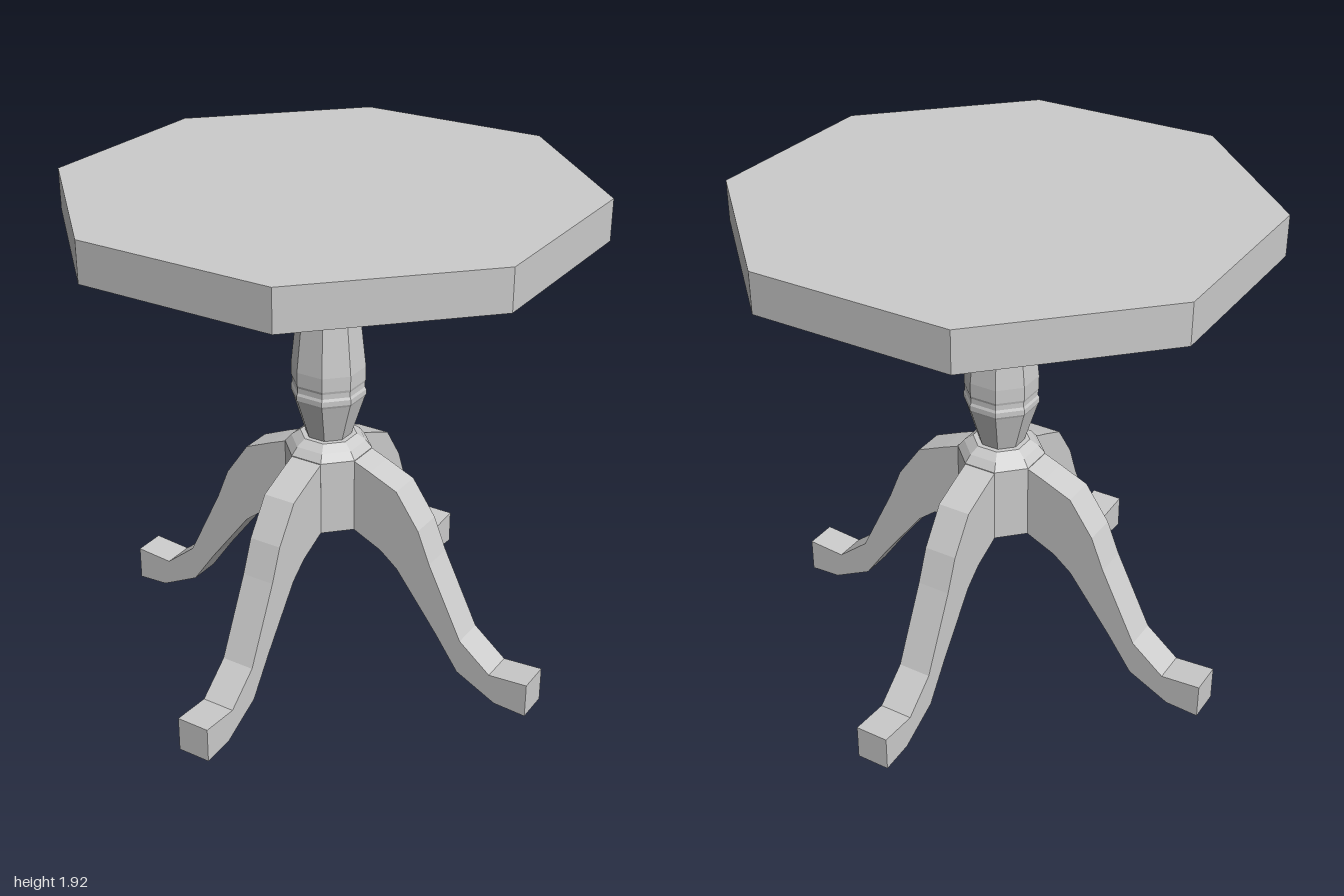
import * as THREE from 'three';

const material = new THREE.MeshStandardMaterial({ color: 0xcccccc, flatShading: true });

function addMesh(parent, name, geometry) {
  const mesh = new THREE.Mesh(geometry, material);
  mesh.name = name;
  parent.add(mesh);
  return mesh;
}

// Eight-sided turned part from [radius, height] pairs, bottom to top
function turned(points) {
  return new THREE.LatheGeometry(points.map(([r, y]) => new THREE.Vector2(r, y)), 8);
}

export function createModel() {
  const table = new THREE.Group();
  table.name = 'pedestalTable';

  // Octagonal top with corners on the axes and a slightly hollowed underside
  addMesh(table, 'tableTop', turned([[0, 1.825], [1, 1.77], [1, 1.925], [0, 1.925]]));

  // Column with a swelling and a narrow ring
  addMesh(table, 'column', turned([
    [0.085, 0.92], [0.14, 1.095], [0.145, 1.105], [0.145, 1.125], [0.14, 1.135], [0.14, 1.155],
    [0.143, 1.165], [0.143, 1.22], [0.1, 1.61], [0.1, 1.83],
  ]));

  // Hub that carries the legs, with a stepped collar
  addMesh(table, 'hub', turned([
    [0, 0.58], [0.17, 0.58], [0.17, 0.88], [0.145, 0.91], [0.11, 0.935], [0, 0.935],
  ]));

  // Cabriole leg: side outline (distance from axis, height) extruded to its width
  const width = 0.13;
  const outline = [
    [0.15, 0.58], [0.157, 0.58], [0.276, 0.525], [0.35, 0.465], [0.525, 0.235], [0.625, 0.092],
    [0.79, 0.008], [0.92, 0],
    [0.92, 0.14], [0.763, 0.128], [0.633, 0.235], [0.49, 0.53], [0.438, 0.66], [0.341, 0.8],
    [0.225, 0.85], [0.157, 0.877], [0.15, 0.877],
  ];
  const shape = new THREE.Shape(outline.map(([r, y]) => new THREE.Vector2(r, y)));
  const legGeometry = new THREE.ExtrudeGeometry(shape, { depth: width, bevelEnabled: false });
  legGeometry.translate(0, 0, -width / 2);

  // Four legs growing from alternate faces of the hub
  for (let i = 0; i < 4; i++) {
    addMesh(table, `leg${i + 1}`, legGeometry).rotation.y = -Math.PI / 8 + (i * Math.PI) / 2;
  }
  return table;
}
